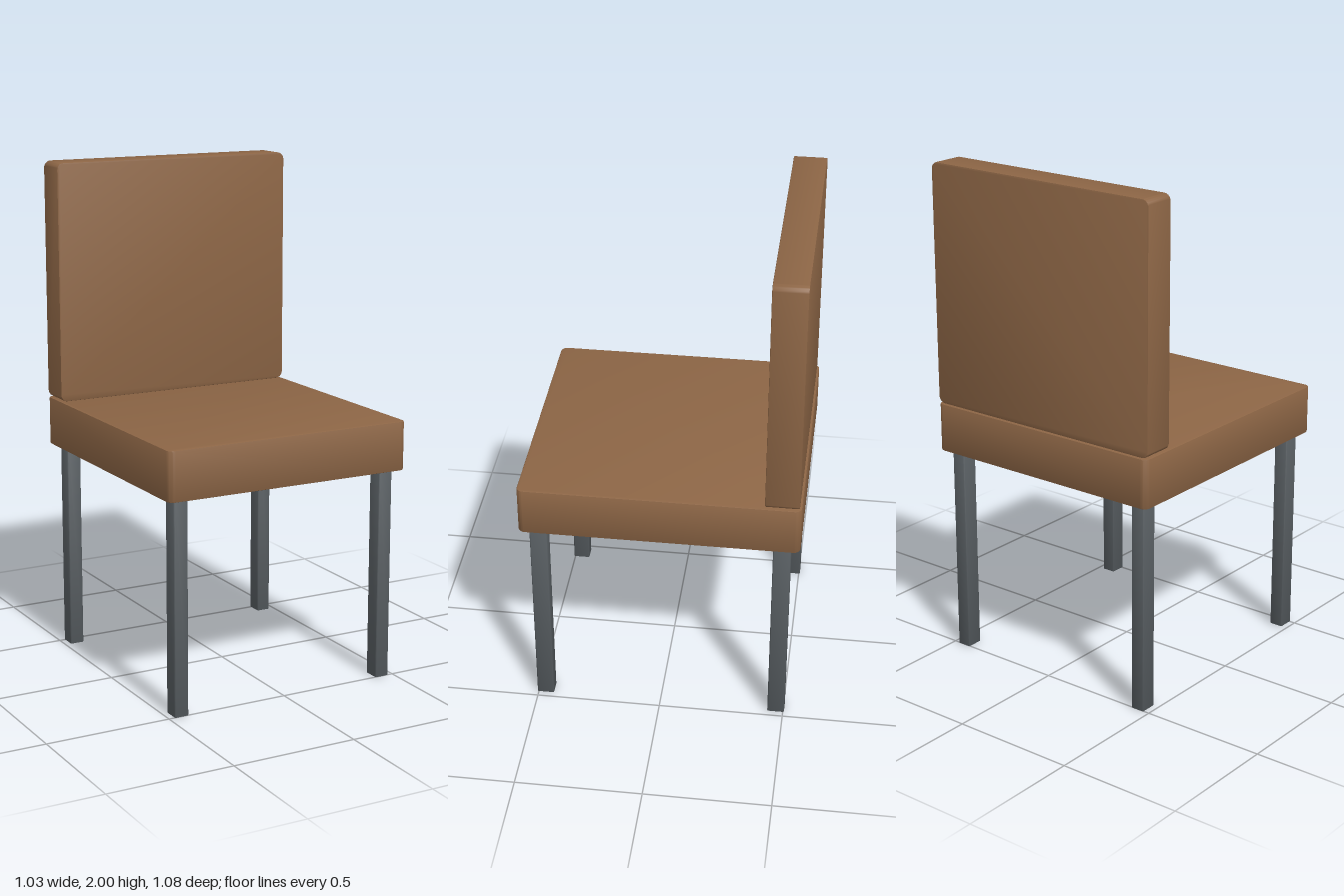
import * as THREE from 'three';
import { toCreasedNormals } from 'three/addons/utils/BufferGeometryUtils.js';

// Centred slab: rounded w x h outline in the xy plane, depth d along z, lightly bevelled
function slab(w, h, d, r, bevel) {
  const x = w / 2 - bevel, y = h / 2 - bevel;
  const s = new THREE.Shape();
  s.absarc(x - r, y - r, r, 0, Math.PI / 2);
  s.absarc(-x + r, y - r, r, Math.PI / 2, Math.PI);
  s.absarc(-x + r, -y + r, r, Math.PI, Math.PI * 1.5);
  s.absarc(x - r, -y + r, r, Math.PI * 1.5, Math.PI * 2);
  const g = new THREE.ExtrudeGeometry(s, {
    depth: d - 2 * bevel, curveSegments: 5,
    bevelEnabled: true, bevelThickness: bevel, bevelSize: bevel, bevelSegments: 2,
  });
  g.translate(0, 0, -d / 2 + bevel);
  return g;
}

export function createModel() {
  const chair = new THREE.Group();
  chair.name = 'chair';
  const brown = new THREE.MeshStandardMaterial({ color: 0x8c6545 });
  brown.name = 'brown upholstery';
  const grey = new THREE.MeshStandardMaterial({ color: 0x575d61 });
  grey.name = 'grey metal';

  const add = (name, geometry, material, x, y, z) => {
    const mesh = new THREE.Mesh(toCreasedNormals(geometry, 0.6), material);
    mesh.name = name;
    mesh.position.set(x, y, z);
    chair.add(mesh);
  };

  // Seat cushion, rounded in plan
  add('seat', slab(1.03, 1.084, 0.195, 0.022, 0.005).rotateX(-Math.PI / 2), brown, 0, 0.9445, 0);

  // Backrest, rounded in elevation
  add('backrest', slab(1.03, 0.957, 0.13, 0.024, 0.004), brown, 0, 1.5215, -0.468);

  // Four square legs
  for (const [side, x] of [['Left', 0.448], ['Right', -0.448]]) {
    for (const [end, z] of [['front', 0.471], ['back', -0.471]]) {
      const leg = slab(0.058, 0.068, 0.85, 0.003, 0.003).rotateX(-Math.PI / 2);
      add(`${end}${side}Leg`, leg, grey, x, 0.425, z);
    }
  }
  return chair;
}
